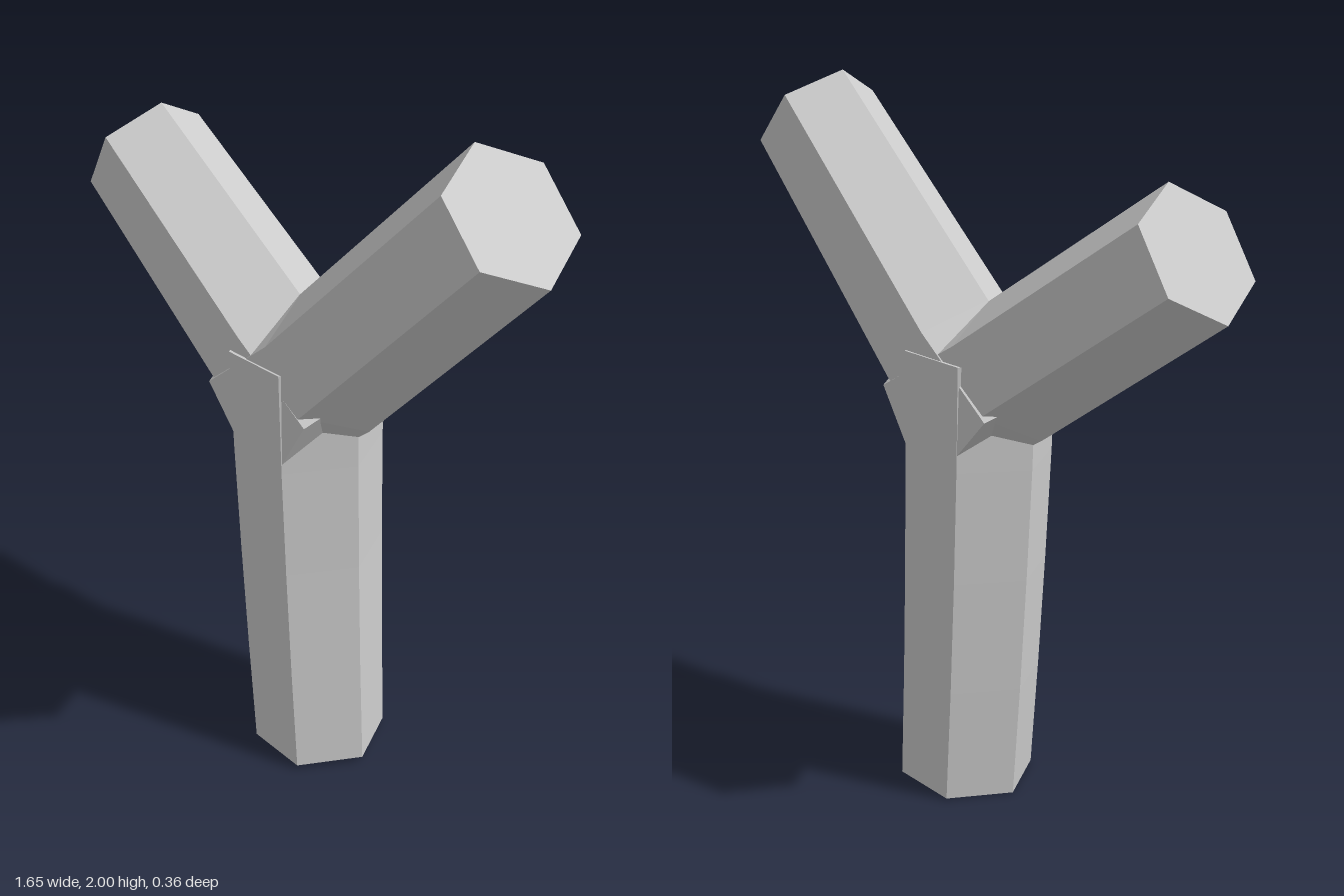
import * as THREE from 'three';

const SIDES = 6;

// Closed hexagonal beam through sections [x, y, radius] in the z = 0 plane,
// every section square to the beam's overall direction
function beam(sections) {
  const [x0, y0] = sections[0];
  const [x1, y1] = sections[sections.length - 1];
  const dir = new THREE.Vector2(x1 - x0, y1 - y0).normalize();
  const pos = [];
  const index = [];

  for (const [x, y, r] of sections) {
    for (let i = 0; i < SIDES; i++) {
      const a = (i / SIDES) * Math.PI * 2;
      const u = r * Math.cos(a);
      pos.push(x + dir.y * u, y - dir.x * u, -r * Math.sin(a));
    }
  }

  // Side walls
  for (let s = 0; s < sections.length - 1; s++) {
    for (let i = 0; i < SIDES; i++) {
      const a = s * SIDES + i;
      const b = s * SIDES + ((i + 1) % SIDES);
      index.push(a, b, b + SIDES, a, b + SIDES, a + SIDES);
    }
  }

  // End caps
  const last = (sections.length - 1) * SIDES;
  for (let i = 1; i < SIDES - 1; i++) {
    index.push(0, i + 1, i, last, last + i, last + i + 1);
  }

  const indexed = new THREE.BufferGeometry();
  indexed.setAttribute('position', new THREE.Float32BufferAttribute(pos, 3));
  indexed.setIndex(index);
  const geometry = indexed.toNonIndexed();
  geometry.computeVertexNormals();
  return geometry;
}

export function createModel() {
  const group = new THREE.Group();
  group.name = 'forkedPost';
  const grey = new THREE.MeshStandardMaterial({ color: 0xcccccc });
  grey.name = 'lightGrey';

  const parts = {
    // Slightly bowed upright
    trunk: [
      [0.06, 0.015, 0.195], [0.038, 0.35, 0.199], [0.02, 0.68, 0.203],
      [0.006, 1.0, 0.207], [-0.002, 1.29, 0.21],
    ],
    // Branches run past the fork so their ends poke out beside the trunk
    rightBranch: [[0.147, 1.095, 0.205], [-0.13, 1.25, 0.2], [-0.733, 1.635, 0.183]],
    leftBranch: [[-0.133, 1.08, 0.207], [0.112, 1.28, 0.203], [0.698, 1.87, 0.183]],
  };

  for (const [name, sections] of Object.entries(parts)) {
    const mesh = new THREE.Mesh(beam(sections), grey);
    mesh.name = name;
    group.add(mesh);
  }
  return group;
}
